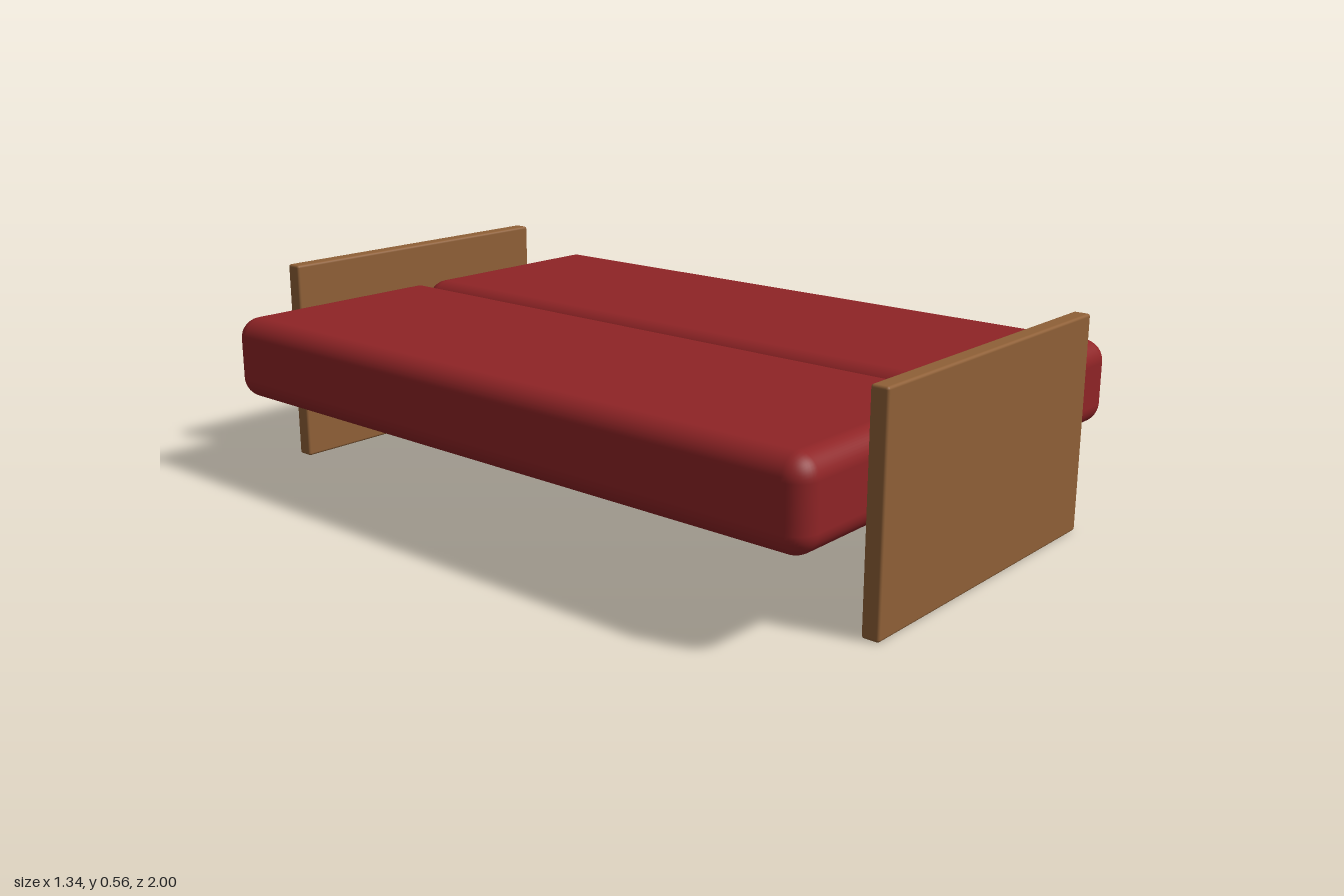
import * as THREE from 'three';
import { RoundedBoxGeometry } from 'three/addons/geometries/RoundedBoxGeometry.js';

export function createModel() {
  const group = new THREE.Group();
  const fabric = new THREE.MeshStandardMaterial({ color: 0x8f2426 });
  fabric.name = 'red fabric';
  const wood = new THREE.MeshStandardMaterial({ color: 0x8f6037 });
  wood.name = 'brown wood';

  const addBox = (name, material, [w, h, d], radius, segments, [x, y, z]) => {
    const mesh = new THREE.Mesh(new RoundedBoxGeometry(w, h, d, segments, radius), material);
    mesh.name = name;
    mesh.position.set(x, y, z);
    group.add(mesh);
  };

  // two soft mattress cushions, side by side
  for (const [side, s] of [['left', 1], ['right', -1]]) {
    addBox(`${side}Cushion`, fabric, [0.672, 0.222, 1.912], 0.056, 5, [s * 0.336, 0.339, 0]);
  }

  // upright end panels that carry the cushions
  for (const [end, s] of [['front', 1], ['back', -1]]) {
    addBox(`${end}Panel`, wood, [0.896, 0.56, 0.045], 0.007, 3, [0, 0.28, s * 0.9775]);
  }
  return group;
}
